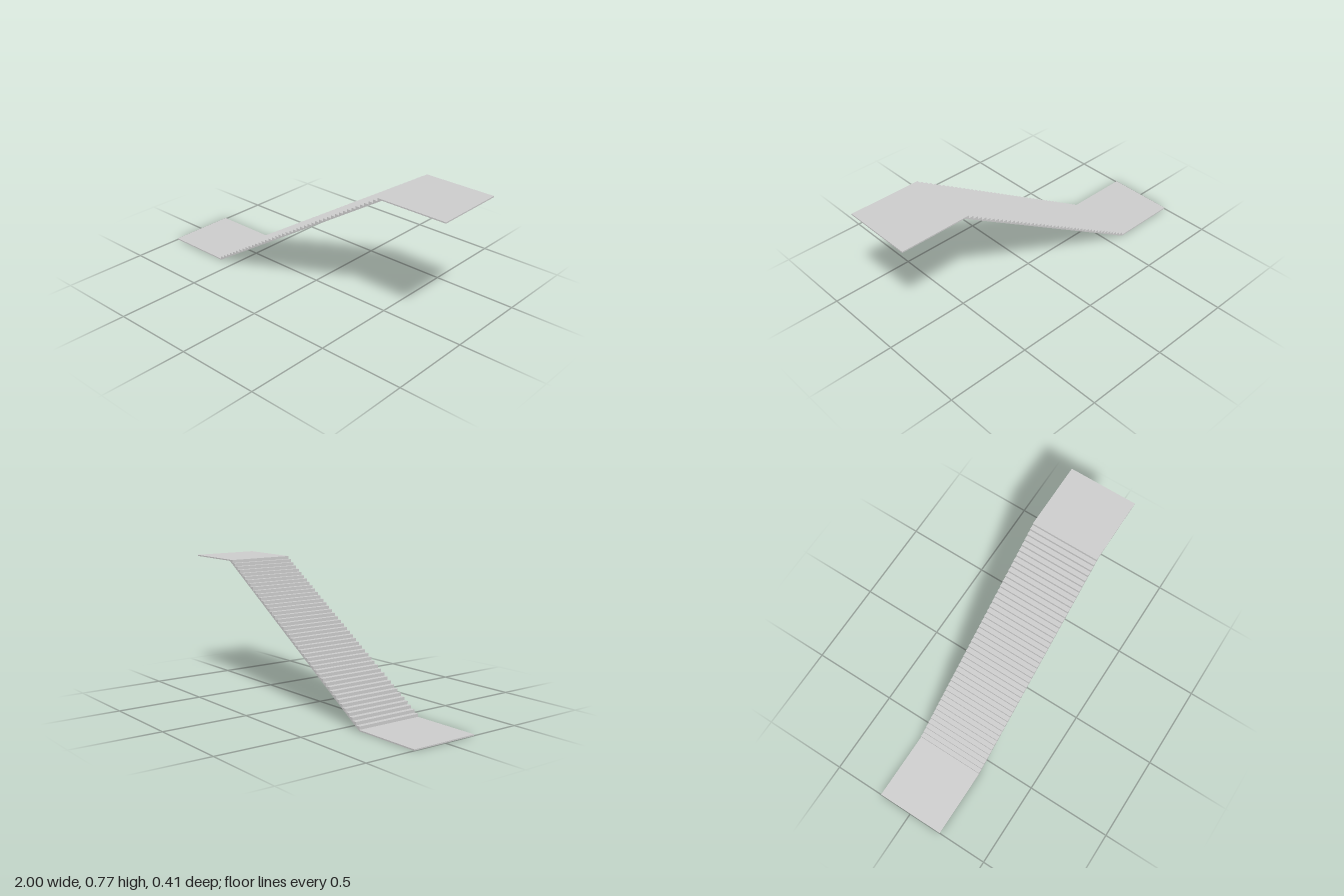
import * as THREE from 'three';

const WIDTH = 0.406, HEIGHT = 0.771, SLAB = 0.007;
const X0 = -0.595, X1 = 0.592; // first and last riser
const RISERS = 44;

export function createModel() {
  const group = new THREE.Group();
  const material = new THREE.MeshStandardMaterial({ color: 0xcccccc, flatShading: true });

  // Side profile (x, y) pulled across the full width
  const addProfile = (name, points) => {
    const shape = new THREE.Shape(points.map(([x, y]) => new THREE.Vector2(x, y)));
    const geometry = new THREE.ExtrudeGeometry(shape, { depth: WIDTH, bevelEnabled: false });
    geometry.translate(0, 0, -WIDTH / 2);
    const mesh = new THREE.Mesh(geometry, material);
    mesh.name = name;
    group.add(mesh);
  };

  const run = (X1 - X0) / (RISERS - 1);
  const rise = (HEIGHT - SLAB) / RISERS;
  const soffitEnd = X0 + (HEIGHT - SLAB) * run / rise; // underside meets the upper landing

  // Lower landing
  addProfile('lowerLanding', [[-1, 0], [X0, 0], [X0, SLAB], [-1, SLAB]]);

  // Stair flight: sloped underside, stepped top
  const flight = [[X0, 0], [soffitEnd, HEIGHT - SLAB], [soffitEnd, HEIGHT]];
  for (let i = RISERS - 1; i >= 0; i--) {
    const x = X0 + i * run;
    flight.push([x, SLAB + (i + 1) * rise], [x, SLAB + i * rise]);
  }
  addProfile('stairFlight', flight);

  // Upper landing
  addProfile('upperLanding', [[soffitEnd, HEIGHT - SLAB], [1, HEIGHT - SLAB], [1, HEIGHT], [soffitEnd, HEIGHT]]);

  return group;
}
